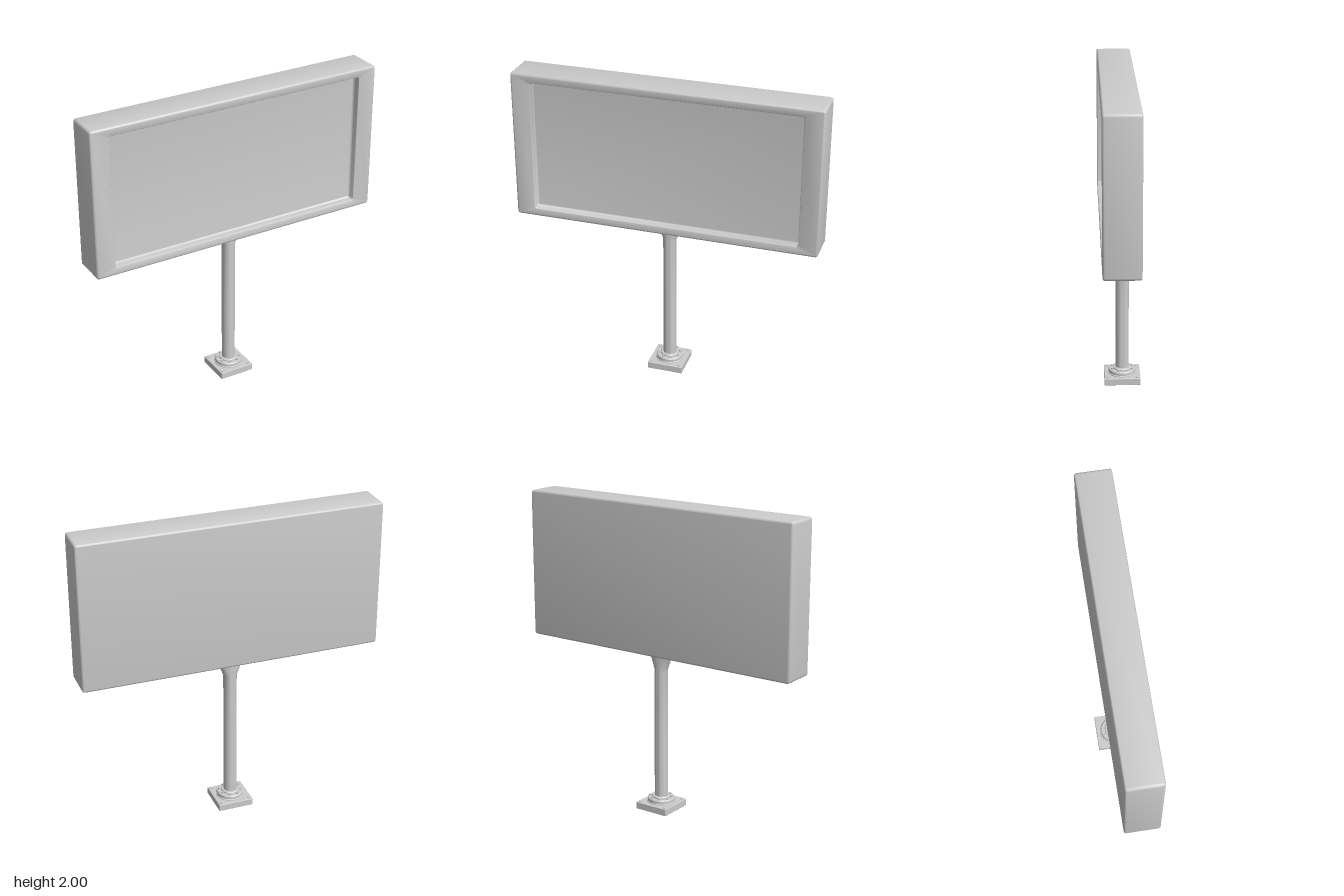
import * as THREE from 'three';
import { toCreasedNormals } from 'three/addons/utils/BufferGeometryUtils.js';
import { RoundedBoxGeometry } from 'three/addons/geometries/RoundedBoxGeometry.js';

const material = new THREE.MeshStandardMaterial({ color: 0xcccccc });
const POLE_Z = -0.013;

function part(name, geometry, x = 0, y = 0, z = 0) {
  const mesh = new THREE.Mesh(geometry, material);
  mesh.name = name;
  mesh.position.set(x, y, z);
  return mesh;
}

// Rounded rectangle, counter-clockwise, always with the same number of points
function roundedRect(w, h, r, z, steps = 4) {
  const points = [];
  for (let corner = 0; corner < 4; corner++) {
    const sx = corner === 0 || corner === 3 ? 1 : -1;
    const sy = corner < 2 ? 1 : -1;
    for (let i = 0; i <= steps; i++) {
      const a = (corner + i / steps) * Math.PI / 2;
      points.push([sx * (w - r) + r * Math.cos(a), sy * (h - r) + r * Math.sin(a), z]);
    }
  }
  return points;
}

// Skin through a list of rings, closed at both ends
function loft(rings) {
  const n = rings[0].length;
  const positions = rings.flat(2);
  const index = [];
  for (let k = 0; k < rings.length - 1; k++) {
    for (let j = 0; j < n; j++) {
      const a = k * n + j, b = k * n + (j + 1) % n;
      index.push(a, b, b + n, a, b + n, a + n);
    }
  }
  const last = (rings.length - 1) * n;
  for (let j = 1; j < n - 1; j++) {
    index.push(0, j + 1, j, last, last + j, last + j + 1);
  }
  const geometry = new THREE.BufferGeometry();
  geometry.setAttribute('position', new THREE.Float32BufferAttribute(positions, 3));
  geometry.setIndex(index);
  return toCreasedNormals(geometry, 0.6);
}

// Cabinet with softened edges and a recessed display face
function cabinetGeometry() {
  const W = 0.982, H = 0.4825, back = -0.097, front = 0.13, r = 0.014;
  const w = 0.858, h = 0.428, lip = 0.005, fillet = 0.012, floor = 0.08;
  const rings = [];
  const steps = 4;
  const arc = (i) => [Math.sin(i / steps * Math.PI / 2), Math.cos(i / steps * Math.PI / 2)];
  const add = (halfW, halfH, inset, radius, z) =>
    rings.push(roundedRect(halfW - inset, halfH - inset, radius, z));
  for (let i = 0; i <= steps; i++) {
    const [s, c] = arc(i);
    add(W, H, r * (1 - s), 0.018 - r * (1 - s), back + r * (1 - c));
  }
  for (let i = 0; i <= steps; i++) {
    const [s, c] = arc(i);
    add(W, H, r * (1 - c), 0.018 - r * (1 - c), front - r * (1 - s));
  }
  for (let i = 0; i <= steps; i++) {
    const [s, c] = arc(i);
    add(w, h, lip * (s - 1), 0.015 + lip * (1 - s), front - lip * (1 - c));
  }
  for (let i = 0; i <= steps; i++) {
    const [s, c] = arc(i);
    add(w, h, fillet * (1 - c), 0.015 - fillet * (1 - c), floor + fillet * (1 - s));
  }
  return loft(rings);
}

// Round pole whose top spreads sideways only
function poleGeometry() {
  const r = 0.043, flareStart = 0.935, top = 1.04;
  const profile = [[0, 0.05], [r, 0.05], [r, 0.5]];
  for (let i = 0; i <= 8; i++) profile.push([r, flareStart + (top - flareStart) * i / 8]);
  const geometry = new THREE.LatheGeometry(profile.map(([x, y]) => new THREE.Vector2(x, y)), 32);
  const p = geometry.attributes.position;
  for (let i = 0; i < p.count; i++) {
    const t = Math.max(0, (p.getY(i) - flareStart) / (top - flareStart));
    p.setX(i, p.getX(i) * (1 + 0.98 * Math.pow(t, 1.15)));
  }
  return toCreasedNormals(geometry, 0.6);
}

export function createModel() {
  const model = new THREE.Group();
  model.name = 'billboard';

  model.add(part('displayCabinet', cabinetGeometry(), 0, 1.5175, 0));
  model.add(part('pole', poleGeometry(), 0, 0, POLE_Z));

  // Foot: plate and stepped collar
  model.add(part('basePlate', new RoundedBoxGeometry(0.234, 0.046, 0.234, 2, 0.004), 0, 0.023, POLE_Z));
  const collar = [[0.094, 0.045], [0.094, 0.05], [0.088, 0.053], [0.088, 0.07], [0.083, 0.076],
    [0.06, 0.076], [0.06, 0.083], [0.055, 0.088], [0.042, 0.088]];
  const collarGeometry = new THREE.LatheGeometry(collar.map(([x, y]) => new THREE.Vector2(x, y)), 32);
  model.add(part('collar', toCreasedNormals(collarGeometry, 0.5), 0, 0, POLE_Z));

  // Bolts around the collar and at the plate corners
  const bolts = new THREE.Group();
  bolts.name = 'bolts';
  const collarBolt = new THREE.CylinderGeometry(0.008, 0.008, 0.012, 6);
  for (let i = 0; i < 8; i++) {
    const a = (i + 0.5) * Math.PI / 4;
    bolts.add(part('collarBolt', collarBolt, 0.07 * Math.cos(a), 0.079, POLE_Z + 0.07 * Math.sin(a)));
  }
  const cornerBolt = new THREE.CylinderGeometry(0.011, 0.011, 0.01, 12);
  for (const sx of [-1, 1]) {
    for (const sz of [-1, 1]) {
      bolts.add(part('cornerBolt', cornerBolt, sx * 0.095, 0.046, POLE_Z + sz * 0.095));
    }
  }
  model.add(bolts);
  return model;
}
